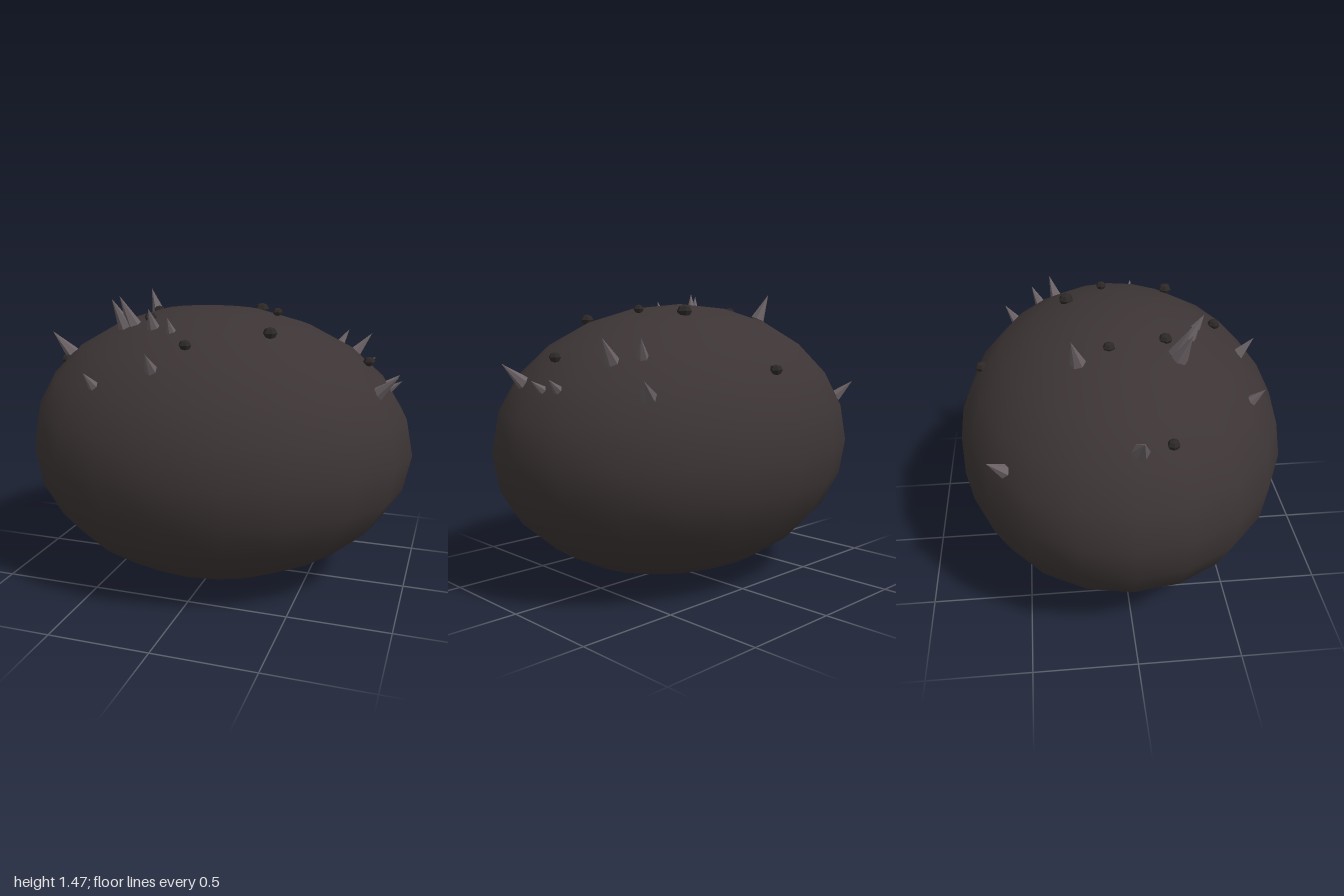
import * as THREE from 'three';

const bodyMat = new THREE.MeshStandardMaterial({ color: 0x3d3535 });
bodyMat.name = 'dark brown';
const spikeMat = new THREE.MeshStandardMaterial({ color: 0x6b6265, flatShading: true });
spikeMat.name = 'spike grey';
const bumpMat = new THREE.MeshStandardMaterial({ color: 0x2d2828, flatShading: true });
bumpMat.name = 'bump black';

const RX = 1, RY = 0.703, RZ = 0.818, CX = -0.04, CY = 0.708;

// Height of the upper body surface above a point on the ground
function surfaceY(x, z) {
  return CY + RY * Math.sqrt(Math.max(0, 1 - (x / RX) ** 2 - (z / RZ) ** 2));
}

// Smooth, slightly uneven ellipsoid
function makeBody() {
  const geo = new THREE.SphereGeometry(1, 20, 12);
  const p = geo.attributes.position;
  for (let i = 0; i < p.count; i++) {
    const x = p.getX(i), y = p.getY(i), z = p.getZ(i);
    p.setXYZ(i,
      CX + x * RX + 0.04 * x * x,
      CY + y * RY - 0.03 * z * Math.max(0, -y),
      z * RZ - 0.01 * (1 - z * z));
    }
  // Normals come from the ellipsoid so the seam stays smooth
  const n = geo.attributes.normal, v = new THREE.Vector3();
  for (let i = 0; i < p.count; i++) {
    v.set(n.getX(i) / RX, n.getY(i) / RY, n.getZ(i) / RZ).normalize();
    n.setXYZ(i, v.x, v.y, v.z);
  }
  const mesh = new THREE.Mesh(geo, bodyMat);
  mesh.name = 'body';
  return mesh;
}

// Six-sided cone from a base point to a tip
function makeSpike([tip, base]) {
  const a = new THREE.Vector3(...base), b = new THREE.Vector3(...tip);
  const dir = b.clone().sub(a), len = dir.length();
  const geo = new THREE.ConeGeometry(0.02 + len * 0.12, len, 6);
  const mesh = new THREE.Mesh(geo, spikeMat);
  mesh.position.copy(a).add(b).multiplyScalar(0.5);
  mesh.quaternion.setFromUnitVectors(new THREE.Vector3(0, 1, 0), dir.normalize());
  mesh.name = 'spike';
  return mesh;
}

// Flattened faceted wart sitting on the surface
function makeBump([x, z, r]) {
  const mesh = new THREE.Mesh(new THREE.SphereGeometry(r, 6, 4), bumpMat);
  mesh.scale.y = 0.8;
  mesh.position.set(x, surfaceY(x, z) + 0.005, z);
  mesh.name = 'bump';
  return mesh;
}

// Each spike: tip, then base centre
const SPIKES = [
  [[-0.95, 1.24, 0.015], [-0.83, 1.12, 0.015]],
  [[-0.70, 1.01, -0.64], [-0.65, 0.93, -0.57]],
  [[0.73, 1.09, -0.58], [0.63, 1.01, -0.50]],
  [[0.60, 1.26, -0.42], [0.54, 1.15, -0.365]],
  [[0.735, 1.26, -0.32], [0.64, 1.14, -0.28]],
  [[0.905, 1.08, -0.165], [0.82, 1.01, -0.14]],
  [[0.925, 1.07, -0.06], [0.83, 1.00, -0.06]],
  [[0.93, 1.135, 0.165], [0.82, 1.03, 0.13]],
  [[-0.235, 1.43, 0.365], [-0.23, 1.32, 0.31]],
  [[-0.125, 1.395, 0.40], [-0.12, 1.30, 0.35]],
  [[-0.46, 1.46, 0.285], [-0.41, 1.32, 0.24]],
  [[-0.42, 1.475, 0.28], [-0.37, 1.32, 0.225]],
  [[-0.45, 1.16, 0.64], [-0.42, 1.07, 0.57]],
  [[-0.135, 1.265, 0.65], [-0.135, 1.17, 0.57]],
  [[-0.47, 1.46, -0.25], [-0.42, 1.33, -0.22]],
];

// Each bump: x, z, radius
const BUMPS = [
  [-0.005, -0.68, 0.032], [0.16, -0.245, 0.038], [0.29, -0.06, 0.026],
  [0.765, -0.02, 0.03], [0.34, 0.28, 0.035], [-0.355, -0.075, 0.03],
  [-0.79, 0.16, 0.03], [-0.295, 0.19, 0.033], [-0.01, 0.475, 0.031],
];

export function createModel() {
  const model = new THREE.Group();
  model.name = 'spikyBoulder';
  const spikes = new THREE.Group();
  spikes.name = 'spikes';
  SPIKES.forEach((s) => spikes.add(makeSpike(s)));
  const bumps = new THREE.Group();
  bumps.name = 'bumps';
  BUMPS.forEach((b) => bumps.add(makeBump(b)));
  model.add(makeBody(), spikes, bumps);
  return model;
}
